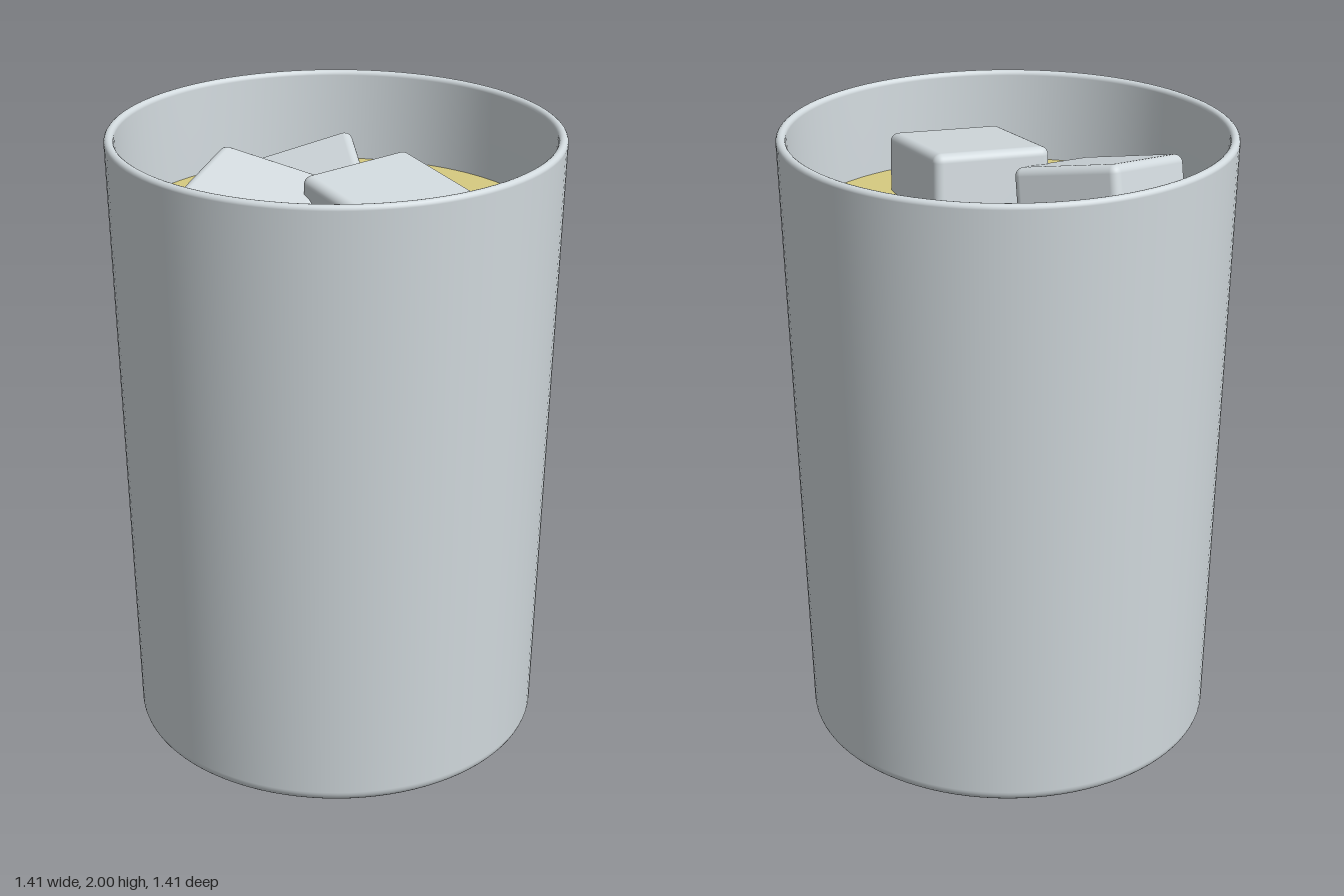
import * as THREE from 'three';
import { RoundedBoxGeometry } from 'three/addons/geometries/RoundedBoxGeometry.js';

const SEGMENTS = 96;
const LIQUID_LEVEL = 1.7;

// Rounded corner of a profile, as an arc of points
function arc(cx, cy, r, from, to, steps = 8) {
  return Array.from({ length: steps + 1 }, (_, i) => {
    const a = THREE.MathUtils.degToRad(from + ((to - from) * i) / steps);
    return new THREE.Vector2(cx + r * Math.cos(a), cy + r * Math.sin(a));
  });
}

// Ice cube placed by the centre of its top face and the two edges of that face
function iceCube(name, material, top, edgeU, edgeV) {
  const u = new THREE.Vector3(...edgeU);
  const v = new THREE.Vector3(...edgeV);
  const width = u.length() + 0.015;
  const depth = v.length() + 0.015;
  const height = 0.39;
  u.normalize();
  const n = new THREE.Vector3().crossVectors(v, u).normalize();
  v.crossVectors(u, n);
  const cube = new THREE.Mesh(new RoundedBoxGeometry(width, height, depth, 4, 0.028), material);
  cube.name = name;
  cube.quaternion.setFromRotationMatrix(new THREE.Matrix4().makeBasis(u, n, v));
  cube.position.set(...top).addScaledVector(n, -height / 2);
  return cube;
}

export function createModel() {
  const group = new THREE.Group();
  group.name = 'icedDrink';

  const glass = new THREE.MeshStandardMaterial({ color: 0xd2dade });
  glass.name = 'pale grey glass';
  const drink = new THREE.MeshStandardMaterial({ color: 0xd7cb80 });
  drink.name = 'pale yellow drink';

  // Tumbler: base, tapered outer wall, rounded rim, inner wall and inner floor
  const profile = [
    new THREE.Vector2(0, 0),
    new THREE.Vector2(0.6, 0),
    ...arc(0.616, 0.042, 0.042, -90, -1),
    ...arc(0.691, 1.985, 0.015, 0, 180),
    new THREE.Vector2(0.668, LIQUID_LEVEL),
    new THREE.Vector2(0.63, 0.07),
    new THREE.Vector2(0.62, 0.06),
    new THREE.Vector2(0, 0.06),
  ];
  const tumbler = new THREE.Mesh(new THREE.LatheGeometry(profile, SEGMENTS), glass);
  tumbler.name = 'tumbler';
  group.add(tumbler);

  // Drink filling the tumbler
  const liquid = new THREE.Mesh(
    new THREE.CylinderGeometry(0.669, 0.629, LIQUID_LEVEL - 0.065, SEGMENTS), drink);
  liquid.name = 'liquid';
  liquid.position.y = (LIQUID_LEVEL + 0.065) / 2;
  group.add(liquid);

  // Three tilted ice cubes
  group.add(
    iceCube('iceCubeBackRight', glass, [-0.293, 1.866, -0.098], [0.39, 0.07, -0.1], [0.11, -0.07, 0.34]),
    iceCube('iceCubeBackLeft', glass, [0.173, 1.77, -0.265], [0.285, 0.056, -0.28], [0.225, 0.1, 0.255]),
    iceCube('iceCubeFront', glass, [-0.07, 1.895, 0.27], [0.35, 0.017, 0.12], [-0.13, -0.043, 0.39]),
  );
  return group;
}
